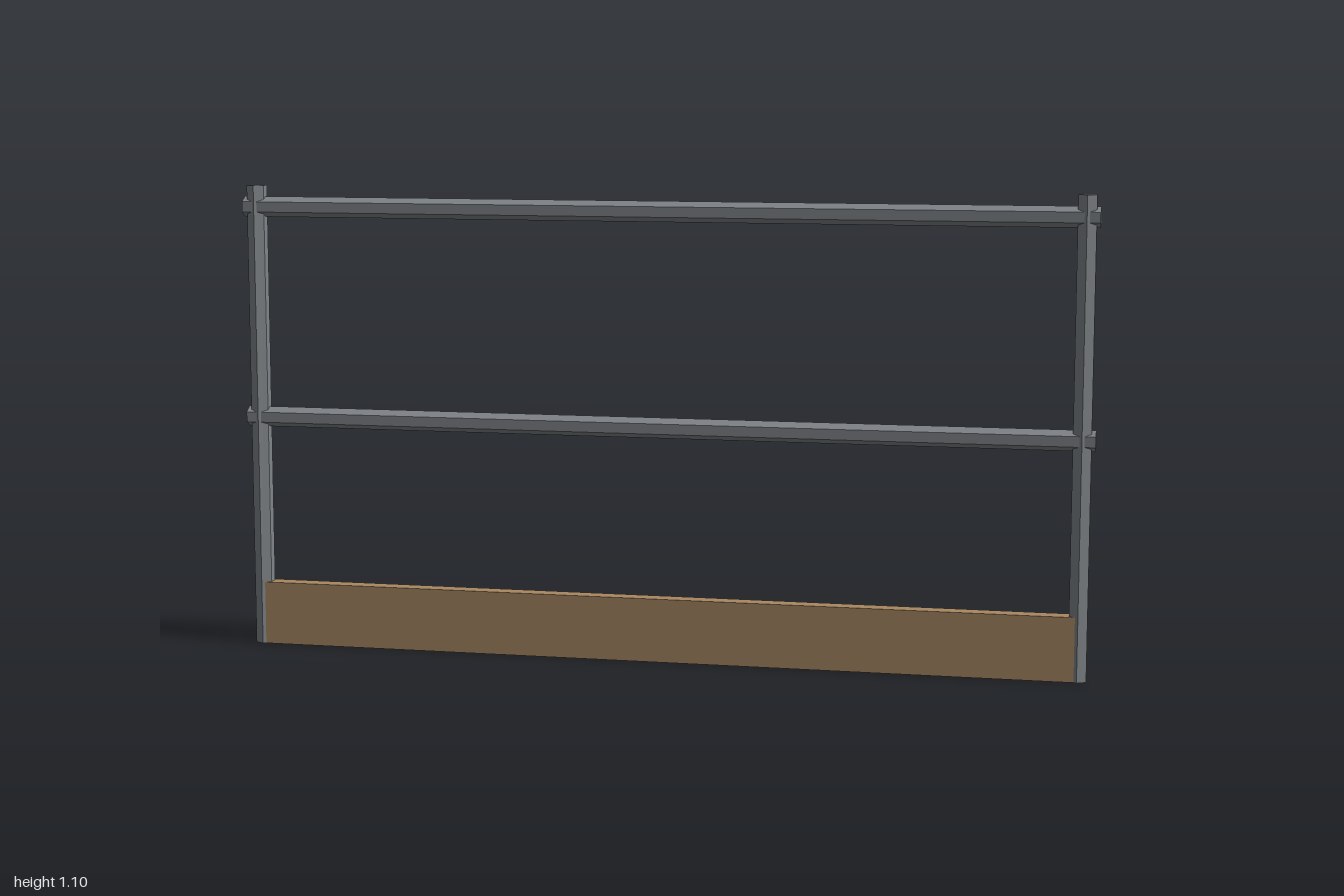
import * as THREE from 'three';

const TUBE_RADIUS = 0.024;
const POST_X = 0.97;

export function createModel() {
  const model = new THREE.Group();
  model.name = 'guardrail';

  const steel = new THREE.MeshStandardMaterial({ color: 0x808589, flatShading: true });
  const wood = new THREE.MeshStandardMaterial({ color: 0xa88762, flatShading: true });

  const add = (name, geometry, material, x, y) => {
    const mesh = new THREE.Mesh(geometry, material);
    mesh.name = name;
    mesh.position.set(x, y, 0);
    model.add(mesh);
  };
  const hexTube = (length) => new THREE.CylinderGeometry(TUBE_RADIUS, TUBE_RADIUS, length, 6);

  // Upright posts, with hexagon corners facing front and back
  add('leftPost', hexTube(1.1), steel, POST_X, 0.55);
  add('rightPost', hexTube(1.1), steel, -POST_X, 0.55);

  // Horizontal rails, with hexagon corners facing up and down
  const rail = hexTube(2).rotateY(Math.PI / 2).rotateZ(Math.PI / 2);
  add('topRail', rail, steel, 0, 1.05);
  add('middleRail', rail, steel, 0, 0.55);

  // Toe board between the post centres
  add('toeBoard', new THREE.BoxGeometry(2 * POST_X, 0.15, 0.04), wood, 0, 0.075);

  return model;
}
